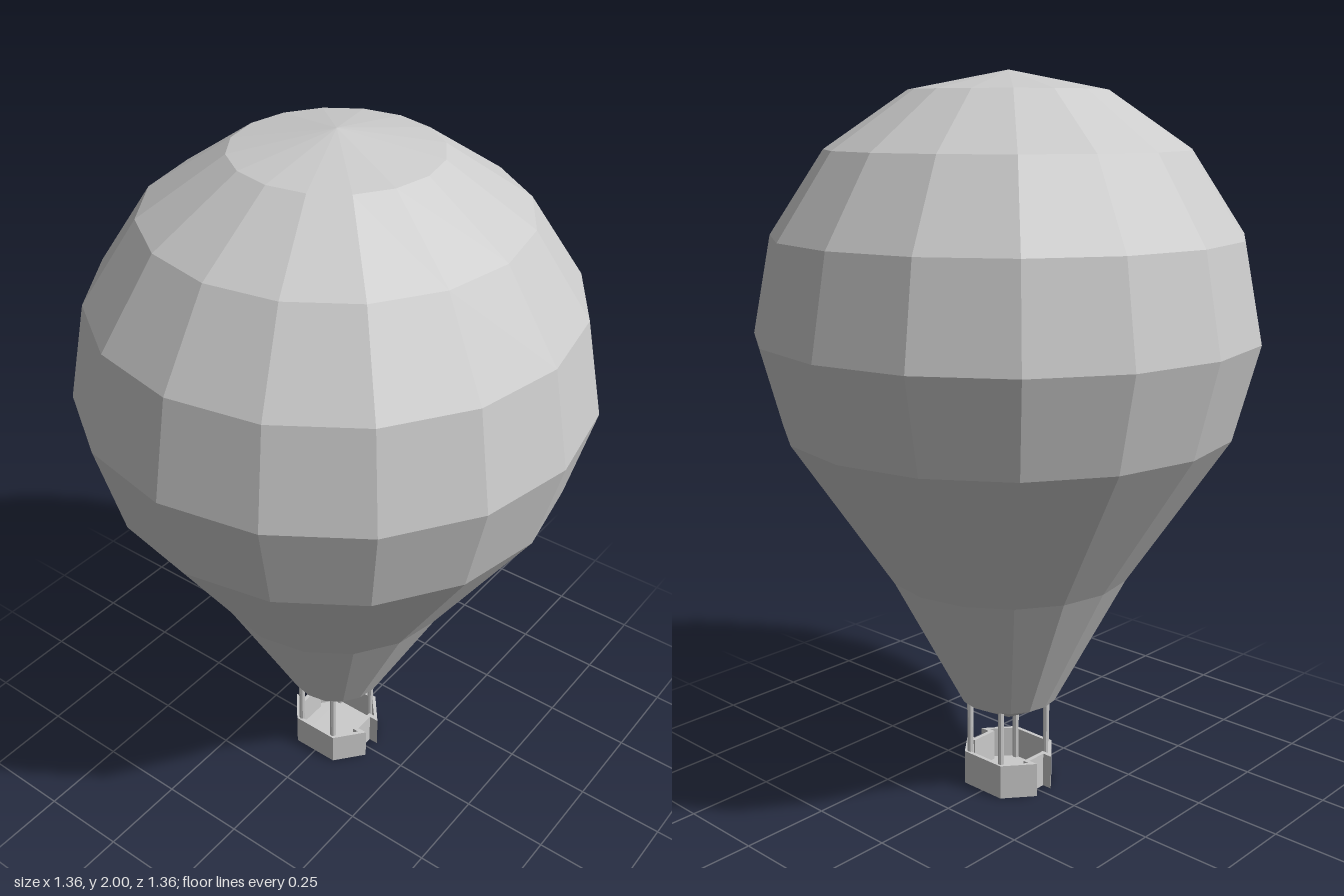
import * as THREE from 'three';

export function createModel() {
  const model = new THREE.Group();
  const mat = new THREE.MeshStandardMaterial({ color: 0xcccccc, flatShading: true });
  const add = (name, geometry, parent = model) => {
    const mesh = new THREE.Mesh(geometry, mat);
    mesh.name = name;
    parent.add(mesh);
    return mesh;
  };

  // Envelope: 16-sided faceted balloon, closed at the mouth by a small cone
  const profile = [
    [0, 0.19], [0.139, 0.265], [0.34, 0.65], [0.615, 1.065], [0.682, 1.32],
    [0.63, 1.58], [0.483, 1.8], [0.261, 1.95], [0, 2],
  ].map(([r, y]) => new THREE.Vector2(r, y));
  add('envelope', new THREE.LatheGeometry(profile, 16));

  // Basket: mirror one quarter of the outline into a closed loop
  const outline = (quarter) => {
    const back = [...quarter].reverse();
    return [
      ...quarter,
      ...back.map(([x, z]) => [-x, z]),
      ...quarter.map(([x, z]) => [-x, -z]),
      ...back.map(([x, z]) => [x, -z]),
    ].map(([x, z]) => new THREE.Vector2(x, z));
  };
  const outer = outline([[0.111, 0.07], [0.03, 0.137], [0.03, 0.108]]);
  const inner = outline([[0.1, 0.065], [0.042, 0.115], [0.042, 0.096]]);
  const extrudeUp = (shape, depth) =>
    new THREE.ExtrudeGeometry(shape, { depth, bevelEnabled: false }).rotateX(-Math.PI / 2);

  const basket = new THREE.Group();
  basket.name = 'basket';
  model.add(basket);
  const wall = new THREE.Shape(outer);
  wall.holes.push(new THREE.Path(inner));
  add('basketWall', extrudeUp(wall, 0.1), basket);
  add('basketFloor', extrudeUp(new THREE.Shape(inner), 0.01), basket);

  // Four posts joining the basket to the envelope mouth
  for (const x of [-0.097, 0.097]) {
    for (const z of [-0.06, 0.06]) {
      const post = add('post', new THREE.CylinderGeometry(0.009, 0.009, 0.25, 8));
      post.position.set(x, 0.133, z);
    }
  }
  return model;
}
